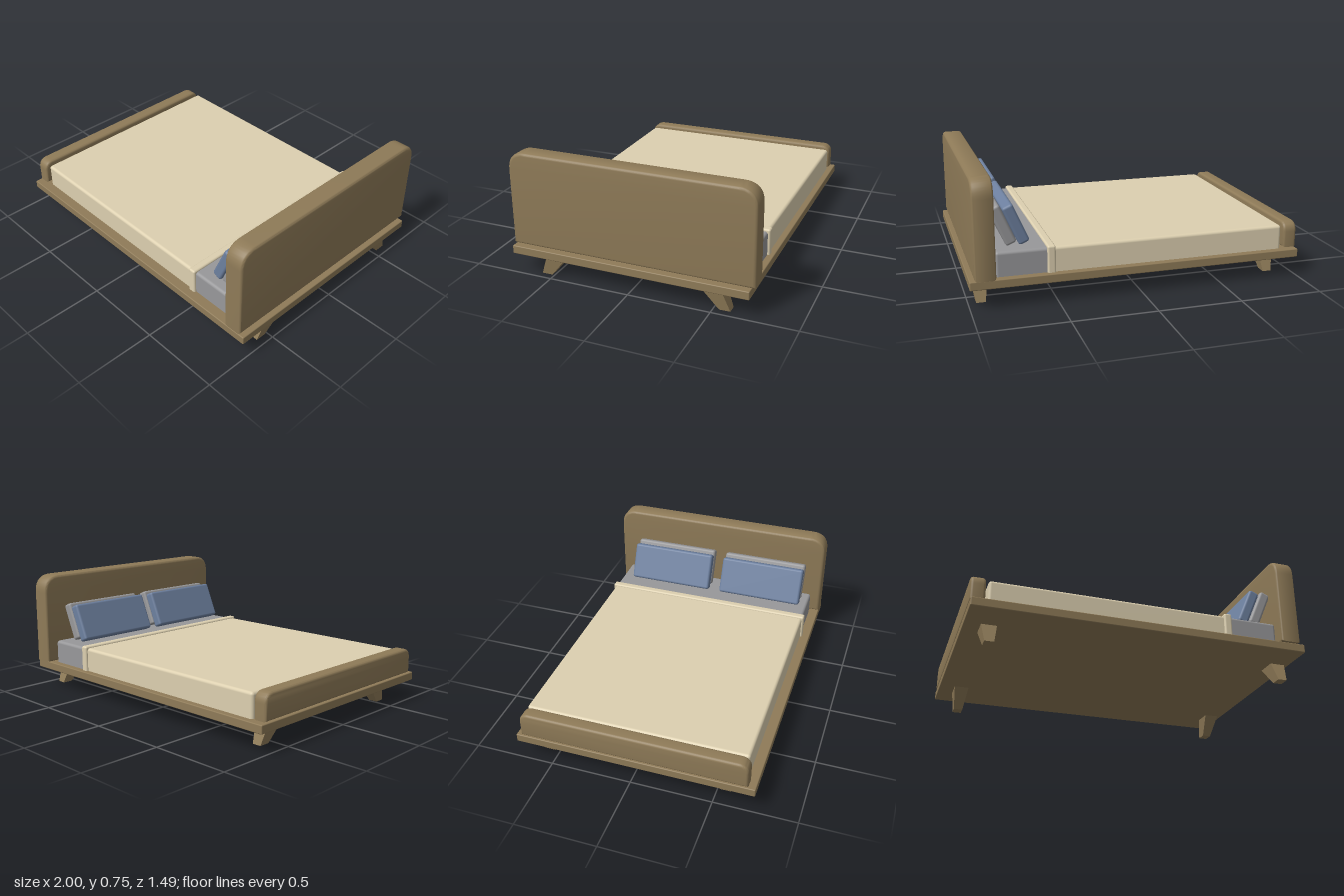
import * as THREE from 'three';
import { toCreasedNormals } from 'three/addons/utils/BufferGeometryUtils.js';
import { RoundedBoxGeometry } from 'three/addons/geometries/RoundedBoxGeometry.js';

const material = (color) => new THREE.MeshStandardMaterial({ color });

// Rounded block given by its min and max corners
function block(name, min, max, radius, mat) {
  const size = max.map((v, i) => v - min[i]);
  const mesh = new THREE.Mesh(new RoundedBoxGeometry(...size, 3, radius), mat);
  mesh.position.set(...min.map((v, i) => (v + max[i]) / 2));
  mesh.name = name;
  return mesh;
}

// Upright padded board across the bed: soft upper corners, bevelled rim
function board(name, min, max, corner, bevel, mat) {
  const b = bevel;
  const [x0, y0, z0] = min;
  const [x1, y1, z1] = max;
  const w = (z1 - z0) / 2 - b;
  const bottom = y0 + b;
  const top = y1 - b;
  const r = corner - b;
  const shape = new THREE.Shape();
  shape.moveTo(-w, bottom);
  shape.lineTo(w, bottom);
  shape.lineTo(w, top - r);
  shape.quadraticCurveTo(w, top, w - r, top);
  shape.lineTo(-w + r, top);
  shape.quadraticCurveTo(-w, top, -w, top - r);
  shape.closePath();
  const depth = x1 - x0 - 2 * b;
  const geo = new THREE.ExtrudeGeometry(shape, {
    depth, bevelThickness: b, bevelSize: b, bevelSegments: 4, curveSegments: 10,
  });
  geo.translate(0, 0, -depth / 2);
  geo.rotateY(Math.PI / 2);
  const mesh = new THREE.Mesh(toCreasedNormals(geo, 0.7), mat);
  mesh.position.set((x0 + x1) / 2, 0, (z0 + z1) / 2);
  mesh.name = name;
  return mesh;
}

// Tapered leg that splays outwards along z
function leg(name, x, zTop, zBottom, mat) {
  const height = 0.12;
  const geo = new THREE.BoxGeometry(1, height, 1);
  const p = geo.attributes.position;
  for (let i = 0; i < p.count; i++) {
    const isTop = p.getY(i) > 0;
    p.setX(i, x + p.getX(i) * (isTop ? 0.09 : 0.055));
    p.setZ(i, (isTop ? zTop : zBottom) + p.getZ(i) * (isTop ? 0.12 : 0.066));
    p.setY(i, isTop ? height : 0);
  }
  geo.computeVertexNormals();
  const mesh = new THREE.Mesh(geo, mat);
  mesh.name = name;
  return mesh;
}

export function createModel() {
  const bed = new THREE.Group();
  bed.name = 'bed';
  const wood = material(0x8f7b58);
  const cream = material(0xddd0b0);
  const grey = material(0x98989a);
  const blue = material(0x6d809f);

  // Platform and boards
  bed.add(block('platform', [-1, 0.12, -0.72], [1, 0.172, 0.745], 0.006, wood));
  bed.add(board('headboard', [0.853, 0.178, -0.747], [0.975, 0.752, 0.747], 0.11, 0.018, wood));
  bed.add(board('footboard', [-1, 0.178, -0.688], [-0.915, 0.336, 0.702], 0.06, 0.016, wood));

  // Mattress, blanket and its folded edge, bottoms sunk slightly into the platform
  bed.add(block('mattress', [0.45, 0.15, -0.68], [0.849, 0.317, 0.682], 0.018, grey));
  bed.add(block('blanket', [-0.9, 0.15, -0.682], [0.54, 0.319, 0.684], 0.018, cream));
  bed.add(block('blanketFold', [0.507, 0.15, -0.695], [0.555, 0.331, 0.697], 0.012, cream));

  // Two leaning pillows on each side, the grey one behind the blue one
  const pillowGeo = new RoundedBoxGeometry(0.066, 0.245, 0.573, 3, 0.016);
  for (const [side, z] of [['left', 0.343], ['right', -0.31]]) {
    for (const [kind, x, mat] of [['front', 0.712, blue], ['back', 0.787, grey]]) {
      const pillow = new THREE.Mesh(pillowGeo, mat);
      pillow.name = `${kind}Pillow_${side}`;
      pillow.position.set(x, 0.44, z);
      pillow.rotation.z = -0.41;
      bed.add(pillow);
    }
  }

  // Legs
  for (const [end, x] of [['foot', -0.861], ['head', 0.926]]) {
    bed.add(leg(`${end}LegFront`, x, 0.476, 0.548, wood));
    bed.add(leg(`${end}LegBack`, x, -0.495, -0.567, wood));
  }
  return bed;
}
